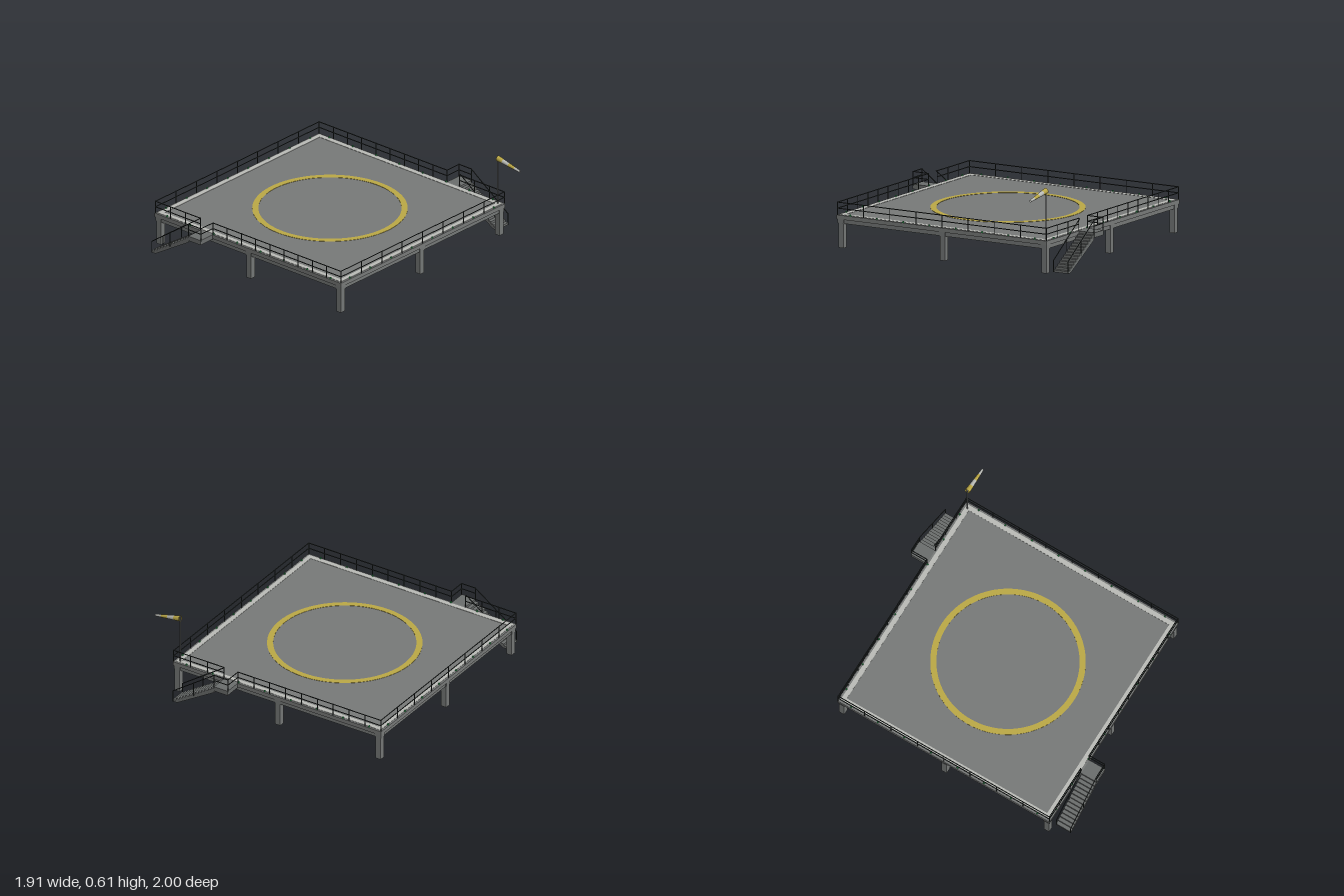
import * as THREE from 'three';
import { mergeGeometries } from 'three/addons/utils/BufferGeometryUtils.js';

const material = (name, color, side = THREE.FrontSide) => {
  const m = new THREE.MeshStandardMaterial({ color, side });
  m.name = name;
  return m;
};

export function createModel() {
  const deckGrey = material('deck grey', 0x777978);
  const steel = material('steel grey', 0x747776);
  const stairGrey = material('stair grey', 0x6a6d6c);
  const railDark = material('rail dark', 0x2c3230);
  const white = material('marking white', 0xb9bbb6);
  const yellow = material('marking yellow', 0xbba846);
  const green = material('light green', 0x2f9a50);
  const sockWhite = material('sock white', 0xb9bbb6, THREE.DoubleSide);
  const sockYellow = material('sock yellow', 0xbba846, THREE.DoubleSide);

  const HALF = 0.872, EDGE = 0.868, TOP = 0.235;
  const model = new THREE.Group();
  model.name = 'landingPad';
  const pad = new THREE.Group();
  pad.name = 'platform';
  pad.position.x = -0.085;
  model.add(pad);

  const add = (parent, name, geometry, mat, x = 0, y = 0, z = 0) => {
    const mesh = new THREE.Mesh(geometry, mat);
    mesh.name = name;
    mesh.position.set(x, y, z);
    parent.add(mesh);
    return mesh;
  };
  const box = (parent, name, mat, w, h, d, x, y, z) =>
    add(parent, name, new THREE.BoxGeometry(w, h, d), mat, x, y, z);

  // Straight round bar between two points
  const bar = (a, b, r = 0.0035) => {
    const from = new THREE.Vector3(...a), to = new THREE.Vector3(...b);
    const dir = to.clone().sub(from);
    const g = new THREE.CylinderGeometry(r, r, dir.length(), 6);
    g.applyQuaternion(new THREE.Quaternion().setFromUnitVectors(
      new THREE.Vector3(0, 1, 0), dir.clone().normalize()));
    const mid = from.add(to).multiplyScalar(0.5);
    return g.translate(mid.x, mid.y, mid.z);
  };

  // Level railing: two rails and evenly spaced posts
  const railing = (x0, z0, x1, z1, segments) => {
    const bars = [0.283, 0.326].map(y => bar([x0, y, z0], [x1, y, z1]));
    for (let i = 0; i <= segments; i++) {
      const t = i / segments, x = x0 + (x1 - x0) * t, z = z0 + (z1 - z0) * t;
      bars.push(bar([x, TOP - 0.01, z], [x, 0.329, z]));
    }
    return bars;
  };

  // Deck slab
  box(pad, 'deck', deckGrey, HALF * 2, 0.03, HALF * 2, 0, TOP - 0.015, 0);

  // Legs with caps, and the beam grid between them
  for (const a of [-0.842, 0, 0.842]) {
    box(pad, 'crossBeam', steel, 1.735, 0.033, 0.04, 0, 0.1915, a);
    box(pad, 'longBeam', steel, 0.04, 0.032, 1.735, a, 0.1915, 0);
    for (const b of [-0.842, 0, 0.842]) {
      box(pad, 'leg', steel, 0.042, 0.2, 0.042, a, 0.1, b);
      box(pad, 'legCap', steel, 0.05, 0.03, 0.05, a, 0.191, b);
    }
  }

  // Painted border and ring
  const square = (s, Type) => new Type([[-s, -s], [s, -s], [s, s], [-s, s]]
    .map(([x, y]) => new THREE.Vector2(x, y)));
  const paint = (name, shape, mat) => {
    const g = new THREE.ExtrudeGeometry(shape, { depth: 0.003, bevelEnabled: false, curveSegments: 48 });
    add(pad, name, g.rotateX(-Math.PI / 2), mat, 0, TOP - 0.001, 0);
  };
  const border = square(0.857, THREE.Shape);
  border.holes.push(square(0.823, THREE.Path));
  paint('borderLine', border, white);
  const ring = new THREE.Shape().absarc(0, 0, 0.546, 0, Math.PI * 2);
  ring.holes.push(new THREE.Path().absarc(0, 0, 0.503, 0, Math.PI * 2));
  paint('touchdownRing', ring, yellow);

  // Stair profile: a sawtooth with a sloping underside
  const LAND0 = -0.33, LAND1 = -0.445, FOOT = -0.79, STEPS = 13;
  const run = (LAND1 - FOOT) / STEPS, rise = TOP / (STEPS + 1);
  const profile = new THREE.Shape();
  profile.moveTo(LAND1, 0.185);
  for (let i = 0; i < STEPS; i++) {
    const y = TOP - (i + 1) * rise;
    profile.lineTo(LAND1 - i * run, y);
    profile.lineTo(LAND1 - (i + 1) * run, y);
  }
  profile.lineTo(FOOT, 0);
  profile.lineTo(FOOT + 0.035, 0);
  profile.closePath();

  // Two opposite halves: front and left edges, then the same turned half round
  for (const turn of [0, Math.PI]) {
    const half = new THREE.Group();
    half.name = turn ? 'backHalf' : 'frontHalf';
    half.rotation.y = turn;
    pad.add(half);

    // Edge railings, open at the landing
    add(half, 'edgeRailing', mergeGeometries([
      ...railing(-EDGE, EDGE, LAND1, EDGE, 3),
      ...railing(LAND0, EDGE, EDGE, EDGE, 9),
      ...railing(-EDGE, -EDGE, -EDGE, EDGE, 8),
    ]), railDark);

    // Landing and stairs
    box(half, 'landing', stairGrey, LAND0 - LAND1, 0.035, 0.13, (LAND0 + LAND1) / 2, TOP - 0.0175, 0.935);
    const stairs = new THREE.ExtrudeGeometry(profile, { depth: 0.122, bevelEnabled: false });
    add(half, 'stairs', stairs, stairGrey, 0, 0, 0.875);

    // Landing rails and sloping handrails
    const rails = [
      ...railing(LAND1, 0.996, LAND0, 0.996, 1),
      ...railing(LAND0, EDGE, LAND0, 0.996, 1),
    ];
    for (const z of [0.878, 0.996]) {
      const mid = (LAND1 + FOOT) / 2;
      rails.push(
        bar([LAND1, 0.326, z], [FOOT, 0.085, z]),
        bar([FOOT, 0, z], [FOOT, 0.085, z]),
        bar([mid, 0.1, z], [mid, 0.205, z]));
    }
    add(half, 'stairRailing', mergeGeometries(rails), railDark);

    // Edge lights
    for (let i = 0; i < 8; i++) {
      const p = (i - 3.5) * 0.2185;
      for (const [x, z] of [[p, 0.861], [-0.861, p]]) {
        add(half, 'edgeLight', new THREE.CylinderGeometry(0.005, 0.007, 0.012, 8), green, x, TOP + 0.005, z);
      }
    }
  }

  // Windsock on its pole
  const windsock = new THREE.Group();
  windsock.name = 'windsock';
  windsock.position.set(0.83, 0, -0.84);
  pad.add(windsock);
  add(windsock, 'pole', new THREE.CylinderGeometry(0.005, 0.005, 0.375, 8), steel, 0, 0.4175, 0);
  const sock = new THREE.Group();
  sock.name = 'sock';
  sock.position.set(0, 0.586, 0);
  sock.rotation.z = -0.19;
  windsock.add(sock);
  const LENGTH = 0.212, radius = t => 0.02 - 0.012 * t;
  const cuts = [0, 0.24, 0.5, 0.76, 1];
  for (let i = 0; i < 4; i++) {
    const a = cuts[i], b = cuts[i + 1];
    const band = new THREE.CylinderGeometry(radius(b), radius(a), (b - a) * LENGTH, 12, 1, true);
    add(sock, 'sockBand', band.rotateZ(-Math.PI / 2), i % 2 ? sockWhite : sockYellow, (a + b) / 2 * LENGTH, 0, 0);
  }
  return model;
}
